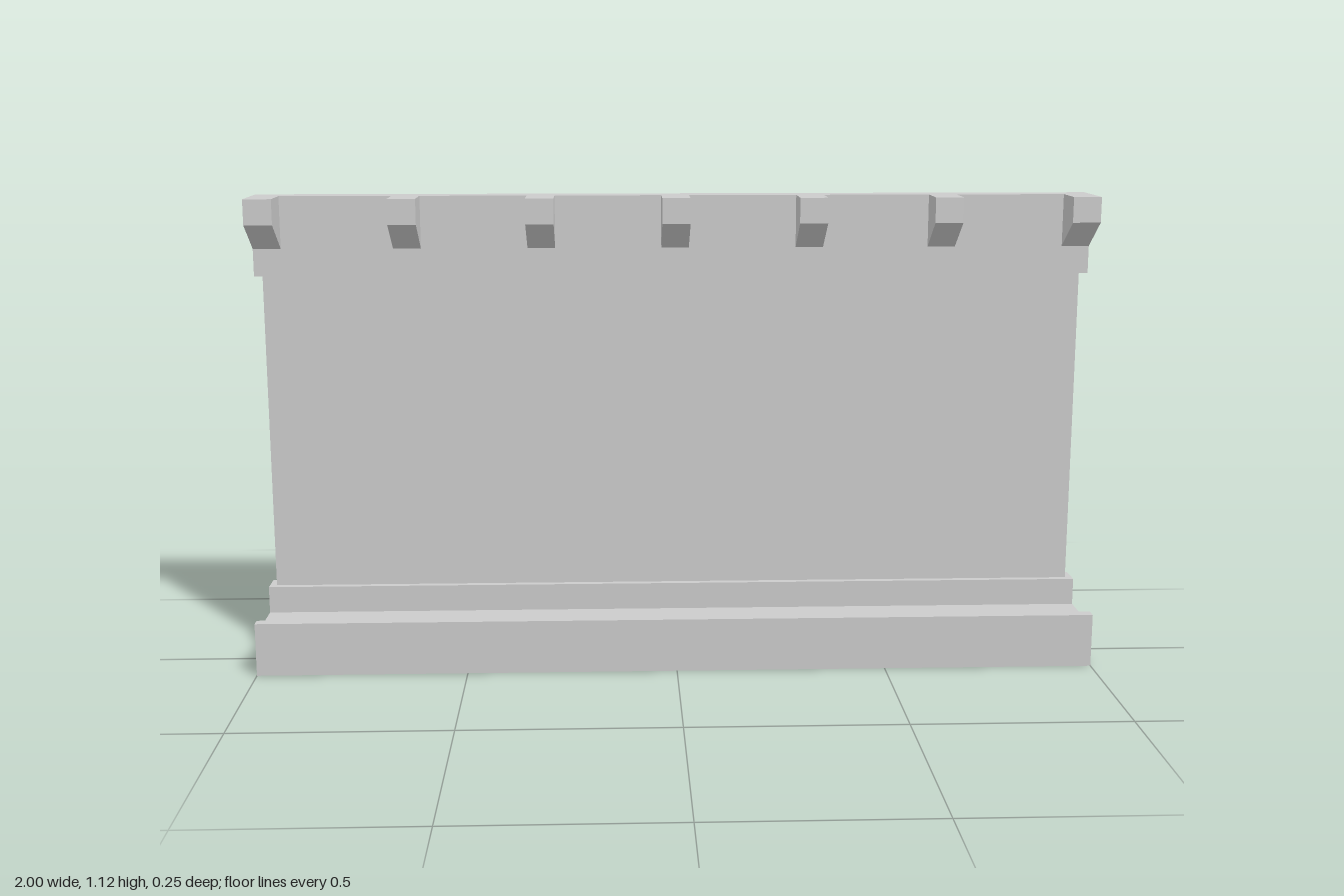
import * as THREE from 'three';

const material = new THREE.MeshStandardMaterial({ color: 0xcccccc, flatShading: true });

// Extrudes a [z, y] side profile along x, centred on the given x
function addProfile(parent, name, points, width, x = 0) {
  const shape = new THREE.Shape(points.map(([z, y]) => new THREE.Vector2(z, y)));
  const geometry = new THREE.ExtrudeGeometry(shape, { depth: width, bevelEnabled: false });
  geometry.translate(0, 0, -width / 2).rotateY(-Math.PI / 2);
  const mesh = new THREE.Mesh(geometry, material);
  mesh.name = name;
  mesh.position.x = x;
  parent.add(mesh);
}

function addBox(parent, name, [w, h, d], [x, y, z]) {
  const mesh = new THREE.Mesh(new THREE.BoxGeometry(w, h, d), material);
  mesh.name = name;
  mesh.position.set(x, y, z);
  parent.add(mesh);
}

export function createModel() {
  const model = new THREE.Group();
  model.name = 'wallSection';
  const back = -0.127, beamFront = -0.064;

  // Base: a trough with a low front lip and a taller back kerb
  addProfile(model, 'base', [
    [back, 0], [0.127, 0], [0.127, 0.128], [0.1, 0.128],
    [0.1, 0.097], [beamFront, 0.097], [beamFront, 0.162], [back, 0.162],
  ], 2);

  // Thin panel, slightly shorter than the base and beam
  addBox(model, 'panel', [1.966, 0.77, 0.03], [0, 0.546, -0.0955]);

  // Top beam
  addBox(model, 'topBeam', [2, 0.19, beamFront - back], [0, 1.025, (back + beamFront) / 2]);

  // Brackets with sloped undersides along the front of the beam
  const brackets = new THREE.Group();
  brackets.name = 'brackets';
  for (const x of [-0.967, -0.636, -0.317, 0.002, 0.324, 0.642, 0.967]) {
    addProfile(brackets, 'bracket', [
      [beamFront, 0.996], [0.032, 1.06], [0.032, 1.12], [beamFront, 1.12],
    ], 0.066, x);
  }
  model.add(brackets);

  return model;
}
